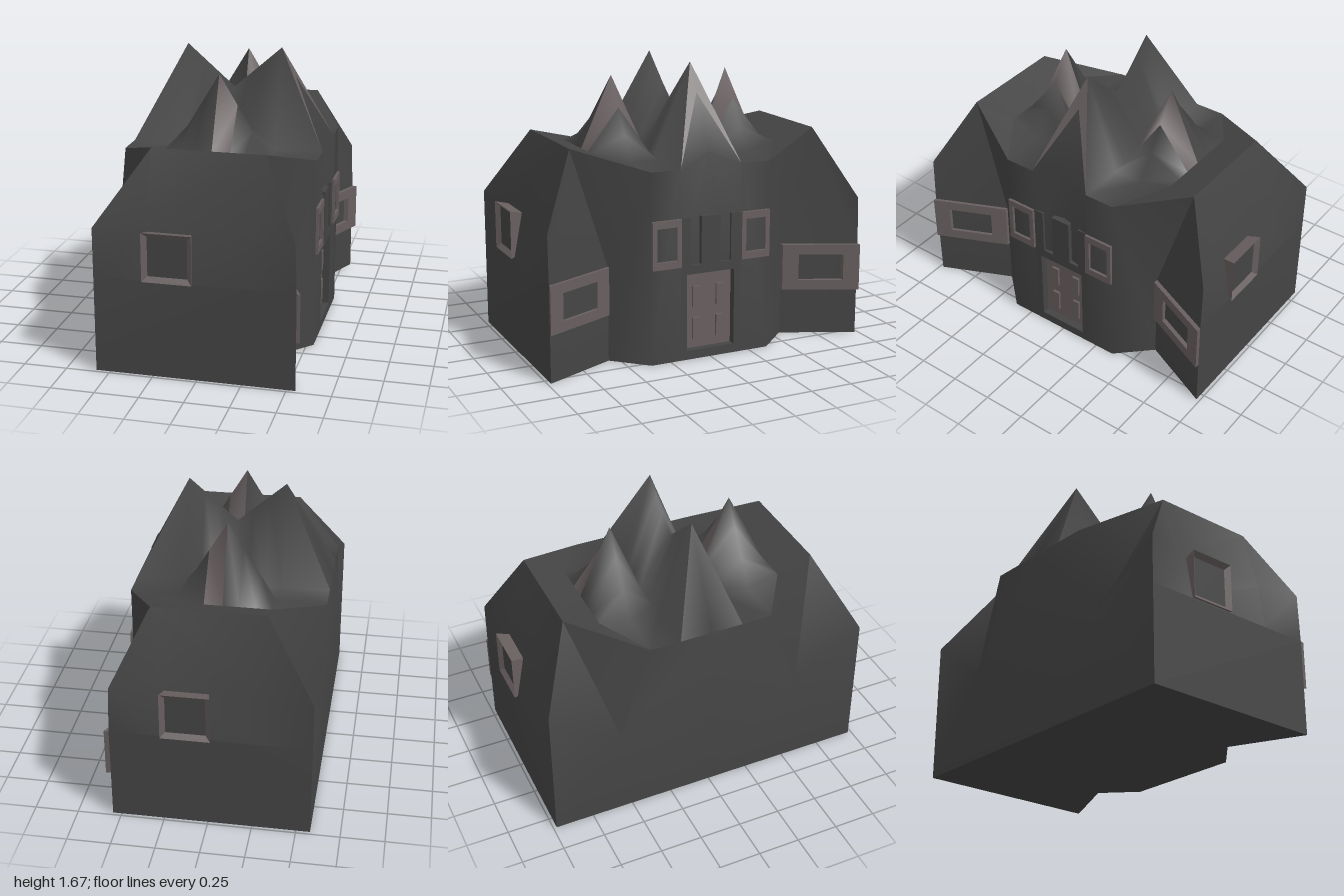
import * as THREE from 'three';
import { toCreasedNormals } from 'three/addons/utils/BufferGeometryUtils.js';

const dark = new THREE.MeshStandardMaterial({ color: 0x444444, side: THREE.DoubleSide });
const trim = new THREE.MeshStandardMaterial({ color: 0x685f5f, side: THREE.DoubleSide });

// Collects polygons of the front half (z > 0) and mirrors each to the back half
function halfSurface() {
  const pos = [];
  return {
    face(...p) {
      for (let i = 1; i < p.length - 1; i++) {
        pos.push(...p[0], ...p[i], ...p[i + 1]);
        for (const [x, y, z] of [p[0], p[i + 1], p[i]]) pos.push(x, y, -z);
      }
    },
    mesh(name, material, crease) {
      const g = new THREE.BufferGeometry();
      g.setAttribute('position', new THREE.Float32BufferAttribute(pos, 3));
      const m = new THREE.Mesh(toCreasedNormals(g, crease), material);
      m.name = name;
      return m;
    },
  };
}

const L = -0.58, R = 0.54, V = 0.36; // left wall, right wall, valley between wing and bay
const B = 0.55;                      // right corner of the wing at the ground
const E = 1.12;                      // eave height
const C = 0.5;                       // bay wall at its hollow centre
const bandTip = [0.343, 1.51, 0];    // lower tip of the light band on the right peak

function walls() {
  const s = halfSurface();
  // right side: wing, slanted bay flank, bay front, hollow wall over the door
  s.face([B, 0, 0.98], [V, 0, 0.56], [V, 0.56, 0.56], [B, 0.56, 0.98]);
  s.face([B, 0.56, 0.98], [V, 0.56, 0.56], [0.34, 1.25, 0.77], [R, 0.84, 0.98]);
  s.face([V, 0, 0.56], [R, 0, 0.37], [R, E, 0.37], [V, 0.56, 0.56]);
  s.face([V, 0.56, 0.56], [R, E, 0.37], [0.34, 1.25, 0.77]);
  s.face([R, 0, 0.37], [R, 0, 0.19], [R, E, 0.19], [R, E, 0.37]);
  s.face([R, 0.56, 0.19], [C, 0.56, 0], [C, 1.2, 0], [R, E, 0.19]);
  // left side
  s.face([L, 0.56, 0.56], [L, E, 0.37], [L, E, 0], [L, 0, 0], [L, 0, 0.98], [L, 0.84, 0.98]);
  s.face([L, 0.56, 0.56], [L, 0.84, 0.98], [-0.3, 1.25, 0.77]);
  s.face([L, 0.56, 0.56], [-0.3, 1.25, 0.77], [L, E, 0.37]);
  // hips of the tall peaks, running on from the walls
  s.face([L, E, 0], [L, E, 0.19], [-0.3, 1.675, 0]);
  s.face([R, E, 0.19], [C, 1.2, 0], bandTip);
  // gable end, curving back above the ground floor
  s.face([L, 0, 0.98], [B, 0, 0.98], [B, 0.56, 0.98], [L, 0.56, 0.98]);
  const rows = [
    [[L, 0.56, 0.98], [-0.3, 0.56, 0.98], [0.26, 0.56, 0.98], [B, 0.56, 0.98]],
    [[L, 0.84, 0.98], [-0.3, 0.84, 0.92], [0.28, 0.84, 0.92], [R, 0.84, 0.98]],
  ];
  for (let i = 0; i < 3; i++) s.face(rows[0][i], rows[0][i + 1], rows[1][i + 1], rows[1][i]);
  s.face(rows[1][0], rows[1][1], [-0.3, 1.25, 0.77]);
  s.face(rows[1][1], rows[1][2], [0.34, 1.25, 0.77], [-0.3, 1.25, 0.77]);
  s.face(rows[1][2], rows[1][3], [0.34, 1.25, 0.77]);
  // underside
  s.face([0, 0, 0], [R, 0, 0], [R, 0, 0.37], [V, 0, 0.56], [B, 0, 0.98], [L, 0, 0.98], [L, 0, 0]);
  return s.mesh('walls', dark, 0.8);
}

function roof() {
  const s = halfSurface(), middle = halfSurface(), strip = halfSurface(), band = halfSurface();
  // slope behind each end ridge
  s.face([-0.3, 1.25, 0.77], [0.34, 1.25, 0.77], [0.26, 1.17, 0.56], [-0.3, 1.17, 0.56]);
  s.face([L, E, 0.37], [-0.3, 1.25, 0.77], [-0.3, 1.17, 0.56]);
  s.face([0.34, 1.25, 0.77], [R, E, 0.37], [0.26, 1.17, 0.56]);
  // light band around the right peak
  band.face([R, E, 0.19], bandTip, [0.26, 1.675, 0]);
  // eaves and slopes beside the folded middle
  middle.face([L, E, 0.37], [-0.3, 1.17, 0.56], [-0.3, E, 0.37]);
  middle.face([L, E, 0.37], [-0.3, E, 0.37], [-0.3, E, 0.19], [L, E, 0.19]);
  middle.face([L, E, 0.19], [-0.3, E, 0.19], [-0.3, 1.675, 0]);
  middle.face([0.26, 1.17, 0.56], [R, E, 0.37], [0.26, E, 0.37]);
  middle.face([0.26, E, 0.37], [R, E, 0.37], [R, E, 0.19], [0.26, E, 0.19]);
  middle.face([0.26, E, 0.19], [R, E, 0.19], [0.26, 1.675, 0]);
  // folded middle: a spire on each side, two tall peaks on the centre line
  const section = (x) => {
    const t = Math.abs(x + 0.02) / 0.28;
    return [[x, 1.17, 0.56], [x, 1.585 - 0.465 * t, 0.37], [x, E, 0.19], [x, 1.43 + 0.245 * t, 0]];
  };
  const xs = [-0.3, -0.205, -0.11, -0.02, 0.085, 0.17, 0.26];
  for (let i = 0; i < xs.length - 1; i++) {
    const a = section(xs[i]), b = section(xs[i + 1]);
    for (let k = 0; k < 3; k++) {
      const target = i === 3 && k < 2 ? strip : middle;
      target.face(a[k], b[k], b[k + 1], a[k + 1]);
    }
  }
  return [
    s.mesh('endRoofs', dark, 0.6),
    middle.mesh('peaks', dark, Math.PI),
    strip.mesh('spireStrips', trim, Math.PI),
    band.mesh('peakBand', trim, 0.5),
  ];
}

// Flat rectangular frame with an opening, facing +z
function frame(name, w, h, holeW, holeH, depth, material) {
  const rect = (T, a, b) => new T().moveTo(-a / 2, -b / 2).lineTo(a / 2, -b / 2).lineTo(a / 2, b / 2).lineTo(-a / 2, b / 2).closePath();
  const shape = rect(THREE.Shape, w, h);
  shape.holes.push(rect(THREE.Path, holeW, holeH));
  const m = new THREE.Mesh(new THREE.ExtrudeGeometry(shape, { depth, bevelEnabled: false }), material);
  m.name = name;
  return m;
}

function box(name, w, h, d, x, y, z, material) {
  const m = new THREE.Mesh(new THREE.BoxGeometry(w, h, d), material);
  m.position.set(x, y, z);
  m.name = name;
  return m;
}

// Square gable window: flared casing, bevelled inside, flat pane
function gableWindow() {
  const group = new THREE.Group();
  group.name = 'gableWindow';
  const profile = [[0.12, 0], [0.14, 0.09], [0.112, 0.066]].map(([r, y]) => new THREE.Vector2(r * Math.SQRT2, y));
  const g = new THREE.LatheGeometry(profile, 4).rotateY(Math.PI / 4).rotateX(Math.PI / 2);
  const casing = new THREE.Mesh(toCreasedNormals(g, 0.1), trim);
  casing.name = 'windowCasing';
  group.add(casing, box('windowPane', 0.224, 0.224, 0.01, 0, 0, 0.061, dark));
  return group;
}

// Wide window following the slanted wing wall, pushed out sideways
function wingWindow(s) {
  const run = new THREE.Vector3((V - B) * s, 0, -0.42);
  const length = run.length();
  const m = frame('wingWindow', length, 0.28, length * 0.58, 0.16, s > 0 ? 0.02 : 0.028, trim);
  m.geometry.applyMatrix4(new THREE.Matrix4().makeBasis(run.normalize(), new THREE.Vector3(0, 1, 0), new THREE.Vector3(1, 0, 0)));
  m.geometry.computeVertexNormals();
  m.position.set((B + V) / 2, 0.42, s * 0.77);
  return m;
}

function door() {
  const g = new THREE.Group();
  g.name = 'door';
  const surround = frame('doorSurround', 0.38, 0.56, 0.3, 0.455, 0.06, dark);
  surround.rotation.y = Math.PI / 2;
  surround.position.set(R - 0.06, 0.28, 0);
  g.add(surround, box('doorLeaf', 0.02, 0.455, 0.3, R - 0.055, 0.28, 0, trim));
  for (const z of [-0.075, 0.075])
    for (const [y, h] of [[0.17, 0.13], [0.36, 0.125]])
      g.add(box('doorPanel', 0.02, h, 0.045, R - 0.04, y, z, trim));
  return g;
}

export function createModel() {
  const house = new THREE.Group();
  house.name = 'house';
  house.add(walls(), ...roof(), door());

  for (const s of [1, -1]) {
    // gable window, turned half round for the back end
    const gable = gableWindow();
    gable.position.set(s > 0 ? -0.16 : 0.12, 0.7, s * 0.91);
    gable.rotation.y = s > 0 ? 0 : Math.PI;
    // upper bay window
    const bay = frame('bayWindow', 0.18, 0.28, 0.125, 0.195, 0.016, trim);
    bay.position.set(R, 0.7, s * 0.28);
    bay.rotation.y = Math.PI / 2;
    house.add(gable, wingWindow(s), bay, box('sidePanel', 0.03, 0.28, 0.06, R - 0.014, 0.7, s * 0.157, dark));
  }
  house.add(box('centrePanel', 0.04, 0.28, 0.12, R - 0.02, 0.7, 0, dark));
  return house;
}
